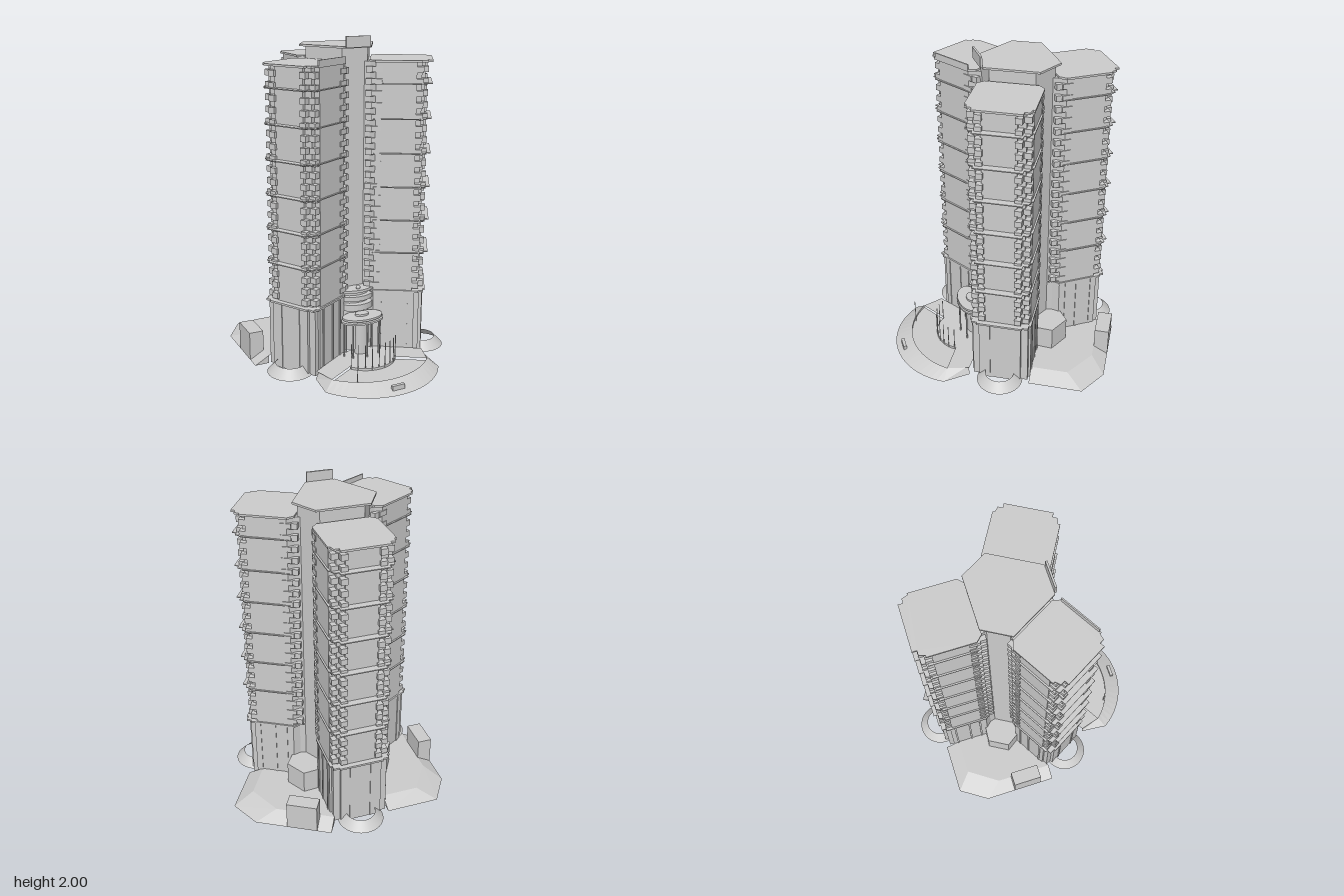
import * as THREE from 'three';

const flat = new THREE.MeshStandardMaterial({ color: 0xcccccc, flatShading: true, side: THREE.DoubleSide });
const smooth = new THREE.MeshStandardMaterial({ color: 0xcccccc, side: THREE.DoubleSide });
const THIRD = Math.PI * 2 / 3;

function add(parent, name, geometry, material = flat) {
  const mesh = new THREE.Mesh(geometry, material);
  mesh.name = name;
  parent.add(mesh);
  return mesh;
}

// Plan outline from [x, z] points
const outline = points => new THREE.Shape(points.map(([x, z]) => new THREE.Vector2(x, -z)));

// Vertical prism from a plan outline
function prism(points, y0, y1) {
  const g = new THREE.ExtrudeGeometry(outline(points), { depth: y1 - y0, bevelEnabled: false });
  return g.rotateX(-Math.PI / 2).translate(0, y0, 0);
}

// Flat surface at one height
function sheet(points, y) {
  return new THREE.ShapeGeometry(outline(points)).rotateX(-Math.PI / 2).translate(0, y, 0);
}

// Sloping strip between two open outlines with equal point counts
function strip(a, ya, b, yb) {
  const pos = [];
  for (let i = 0; i < a.length - 1; i++) {
    const p = [a[i][0], ya, a[i][1]], q = [a[i + 1][0], ya, a[i + 1][1]];
    const r = [b[i][0], yb, b[i][1]], s = [b[i + 1][0], yb, b[i + 1][1]];
    pos.push(...p, ...r, ...q, ...q, ...r, ...s);
  }
  const g = new THREE.BufferGeometry();
  g.setAttribute('position', new THREE.Float32BufferAttribute(pos, 3));
  g.computeVertexNormals();
  return g;
}

function box(x0, x1, y0, y1, z0, z1) {
  return new THREE.BoxGeometry(x1 - x0, y1 - y0, z1 - z0)
    .translate((x0 + x1) / 2, (y0 + y1) / 2, (z0 + z1) / 2);
}

// Half outline mirrored across the wing axis
const mirror = half => [...half, ...half.map(([x, z]) => [x, -z]).reverse()];

function arc(cx, r, half, n = 20) {
  return Array.from({ length: n + 1 }, (_, i) => {
    const t = -half + 2 * half * i / n;
    return [cx + r * Math.cos(t), r * Math.sin(t)];
  });
}

function ellipse(cx, rx, rz, n = 32) {
  return Array.from({ length: n }, (_, i) => {
    const t = i / n * Math.PI * 2;
    return [cx + rx * Math.cos(t), rz * Math.sin(t)];
  });
}

const wallPlan = mirror([[0.15, 0.14], [0.19, 0.15], [0.225, 0.18], [0.465, 0.18], [0.465, 0.145],
  [0.495, 0.145], [0.495, 0.1], [0.515, 0.1]]);
const slabPlan = mirror([[0.185, 0.155], [0.22, 0.19], [0.495, 0.19], [0.495, 0.178],
  [0.53, 0.168], [0.53, 0.14], [0.558, 0.14]]);
const podiumPlan = mirror([[0.15, 0.14], [0.19, 0.15], [0.225, 0.185], [0.48, 0.185], [0.48, 0.172],
  [0.51, 0.172], [0.51, 0.13], [0.53, 0.13]]);
const podiumSlabPlan = mirror([[0.185, 0.155], [0.22, 0.19], [0.505, 0.19], [0.505, 0.176],
  [0.535, 0.176], [0.535, 0.14], [0.547, 0.14]]);

// One residential wing pointing along +x
function makeWing() {
  const wing = new THREE.Group();
  wing.name = 'wing';
  add(wing, 'wingPodium', strip([...podiumPlan, podiumPlan[0]], 0.425, [...podiumPlan, podiumPlan[0]], 0));
  add(wing, 'podiumSlab', prism(podiumSlabPlan, 0.422, 0.434));
  add(wing, 'wingTower', prism(wallPlan, 0.43, 1.85));
  add(wing, 'wingRoof', prism(slabPlan, 1.848, 1.86));
  for (let i = 0; i < 6; i++) {
    const y = 0.68 + i * 0.2085;
    add(wing, 'floorBand', prism(slabPlan, y - 0.003, y + 0.003));
  }
  for (const s of [1, -1]) {
    const side = new THREE.Group();
    side.name = 'wingSide';
    side.scale.z = s;
    wing.add(side);
    // Balconies at the outer and inner corners, one set per floor
    for (let i = 0; i < 20; i++) {
      const y = 0.447 + i * 0.0705, top = y + 0.036;
      add(side, 'cornerBalcony', box(0.455, 0.505, y, top, 0.135, 0.176));
      add(side, 'endBalcony', box(0.485, 0.533, y, top, 0.09, 0.13));
      add(side, 'innerBalcony', box(0.165, 0.213, y, top, 0.13, 0.176));
      add(side, 'windowBay', box(0.2, 0.262, y + 0.005, top, 0.15, 0.185));
    }
    for (const x of [0.265, 0.34, 0.44]) add(side, 'podiumPilaster', box(x, x + 0.012, 0, 0.425, 0.18, 0.19));
    add(side, 'endPilaster', box(0.525, 0.535, 0, 0.425, 0.06, 0.072));
  }
  // Sloping skirt round the foot of the wing end
  const foot = add(wing, 'footSkirt', new THREE.CylinderGeometry(0.09, 0.143, 0.055, 40, 1, true), smooth);
  foot.position.set(0.532, 0.0275, 0);
  return wing;
}

// Raised terrace with a service block and a low lobby, between two wings
function makeTerrace() {
  const terrace = new THREE.Group();
  terrace.name = 'terrace';
  const rim = [[-0.116, -0.545], [0.254, -0.545], [0.444, -0.415], [0.444, -0.185]];
  const foot = [[-0.116, -0.635], [0.364, -0.635], [0.539, -0.52], [0.539, -0.185]];
  add(terrace, 'terraceTop', sheet([...rim, [0.225, -0.185], [0.048, -0.287]], 0.05));
  add(terrace, 'terraceSkirt', strip([rim[0], ...foot, rim[3]], 0, [rim[0], ...rim, rim[3]], 0.05));
  add(terrace, 'serviceBlock', box(-0.026, 0.164, 0, 0.18, -0.635, -0.545));
  const lobby = add(terrace, 'backLobby', prism(mirror([[0.17, 0.1], [0.255, 0.125], [0.366, 0.072]]), 0.05, 0.2));
  lobby.rotation.y = Math.PI / 3;
  return terrace;
}

// Curved forecourt with the round entrance, pointing along +x
function makeForecourt() {
  const court = new THREE.Group();
  court.name = 'forecourt';
  const foot = arc(0.372, 0.453, 1.016);
  const rim = arc(0.279, 0.436, 0.84);
  const inner = arc(0.356, 0.194, 0.945);
  const last = rim.length - 1;
  const sideFoot = [[0.436, -0.369], ...foot, [0.436, 0.369]];
  const sideRim = [[0.436, -0.345], ...rim, [0.436, 0.345]];
  add(court, 'forecourtSkirt', strip(sideFoot, 0, sideRim, 0.05));
  add(court, 'rimWall', strip(rim, 0.05, rim, 0.035));
  add(court, 'crescentFloor', strip(rim, 0.035, inner, 0.035));
  add(court, 'crescentStep', strip(inner, 0.035, inner, 0.05));
  add(court, 'entranceFloor', sheet([[0.27, -0.102], [0.436, -0.365], rim[0], ...inner, rim[last],
    [0.436, 0.365], [0.27, 0.102]], 0.05));
  add(court, 'smallSign', box(0.77, 0.79, 0.015, 0.045, -0.04, 0.04));

  // Slender posts beside the entrance steps and one on the rim
  for (const [x, z] of [...arc(0.356, 0.194, 0.9, 8), [0.655, 0.2]]) {
    add(court, 'post', box(x - 0.002, x + 0.002, 0.035, 0.2, z - 0.002, z + 0.002));
  }

  // Oval ledges stacked against the core, with a lower canopy in front
  const tiers = [
    ['pavilionDrum', 0.2, 0.07, 0.1, 0.05, 0.44],
    ['upperLedge', 0.2, 0.095, 0.135, 0.438, 0.455],
    ['middleLedge', 0.2, 0.1, 0.13, 0.385, 0.415],
    ['lowerBand', 0.21, 0.1, 0.12, 0.325, 0.365],
    ['canopy', 0.327, 0.08, 0.14, 0.27, 0.282],
    ['canopyCore', 0.327, 0.06, 0.11, 0.28, 0.292],
    ['canopyRim', 0.327, 0.076, 0.132, 0.29, 0.303],
    ['canopyDrum', 0.318, 0.03, 0.045, 0.05, 0.315]
  ];
  for (const [name, cx, rx, rz, y0, y1] of tiers) add(court, name, prism(ellipse(cx, rx, rz), y0, y1));
  const ball = add(court, 'topBall', new THREE.SphereGeometry(0.014, 16, 10), smooth);
  ball.position.set(0.265, 0.466, 0);
  for (const [x, z] of ellipse(0.327, 0.068, 0.125, 8)) {
    const column = add(court, 'entranceColumn', new THREE.CylinderGeometry(0.005, 0.005, 0.23, 10), smooth);
    column.position.set(x, 0.16, z);
  }
  return court;
}

export function createModel() {
  const model = new THREE.Group();
  model.name = 'residentialTower';
  const hub = new THREE.Group();
  hub.name = 'tower';
  hub.position.set(0.026, 0, -0.065);
  model.add(hub);

  // Three wings round the core
  for (let i = 0; i < 3; i++) {
    const wing = makeWing();
    wing.rotation.y = -i * THIRD;
    hub.add(wing);
    if (i === 1) add(wing, 'roofParapet', box(0.22, 0.485, 1.855, 1.89, -0.19, -0.182));
  }

  // Six-sided core and its roof slab
  const hexagon = (d, half) => [1, 3, 5].flatMap(k => [-half, half].map(v => {
    const a = k * Math.PI / 3;
    return [d * Math.cos(a) - v * Math.sin(a), d * Math.sin(a) + v * Math.cos(a)];
  }));
  add(hub, 'core', prism(hexagon(0.2, 0.085), 0.05, 1.935));
  add(hub, 'coreRoof', prism(hexagon(0.236, 0.09), 1.93, 1.942));

  // Two back terraces
  for (const angle of [0, THIRD]) {
    const terrace = makeTerrace();
    terrace.rotation.y = angle;
    hub.add(terrace);
  }

  // Front forecourt and the roof screen above it
  const front = makeForecourt();
  front.rotation.y = -Math.PI / 3;
  hub.add(front);
  add(front, 'roofScreen', box(0.236, 0.248, 1.935, 2, -0.08, 0.08));
  return model;
}
